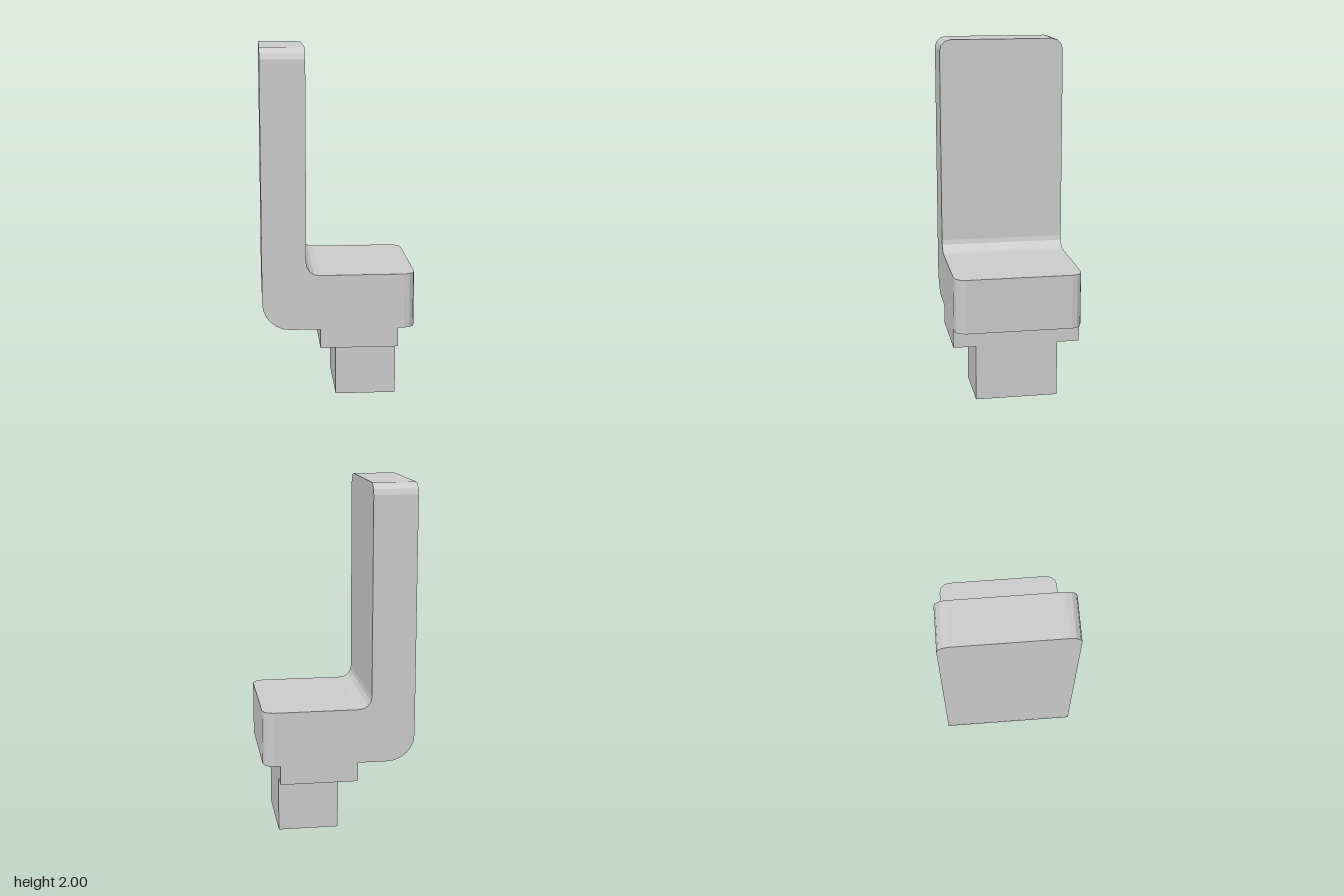
import * as THREE from 'three';

const TOP = 2, FRONT = 0.43, HALF = 0.362, R = 0.063, SEG = 3;

// Points of a circular arc, angles in degrees
function arc(cx, cy, r, from, to, n) {
  return Array.from({ length: n + 1 }, (_, i) => {
    const a = THREE.MathUtils.degToRad(from + (to - from) * i / n);
    return new THREE.Vector2(cx + r * Math.cos(a), cy + r * Math.sin(a));
  });
}
const pt = (x, y) => new THREE.Vector2(x, y);

// L-shaped side profile, including the step under the seat
function bracketGeometry() {
  const profile = new THREE.Shape([
    pt(-0.105, 0.43), pt(-0.105, 0.32), pt(0.335, 0.32), pt(0.335, 0.43),
    pt(FRONT, 0.43), pt(FRONT, 0.742),
    ...arc(-0.113, 0.812, 0.07, 270, 180, 4),
    pt(-0.183, TOP), pt(-0.43, TOP),
    ...arc(-0.275, 0.585, 0.155, 180, 270, 6),
  ]);

  // Slices across the width: the outer ones pull in the top and the seat end
  const slices = [];
  for (let i = SEG; i >= 0; i--) {
    const a = i / SEG * Math.PI / 2;
    slices.push({ z: -(HALF - R + R * Math.sin(a)), inset: R * (1 - Math.cos(a)) });
  }
  for (let i = SEG; i >= 0; i--) slices.push({ z: -slices[i].z, inset: slices[i].inset });

  const steps = slices.length - 1;
  const geo = new THREE.ExtrudeGeometry(profile, { depth: steps, steps, bevelEnabled: false });
  const p = geo.attributes.position;
  for (let i = 0; i < p.count; i++) {
    const { z, inset } = slices[Math.round(p.getZ(i))];
    if (p.getY(i) > TOP - 1e-4) p.setY(i, TOP - inset);
    if (p.getX(i) > FRONT - 1e-4) p.setX(i, FRONT - inset);
    p.setZ(i, z);
  }
  geo.computeVertexNormals();
  return geo;
}

export function createModel() {
  const group = new THREE.Group();
  const material = new THREE.MeshStandardMaterial({ color: 0xcccccc, flatShading: true });

  // Upright, seat and step in one piece
  const bracket = new THREE.Mesh(bracketGeometry(), material);
  bracket.name = 'bracket';

  // Square stem underneath
  const stem = new THREE.Mesh(new THREE.BoxGeometry(0.345, 0.32, 0.47), material);
  stem.name = 'stem';
  stem.position.set(0.1625, 0.16, 0);

  group.add(bracket, stem);
  return group;
}
